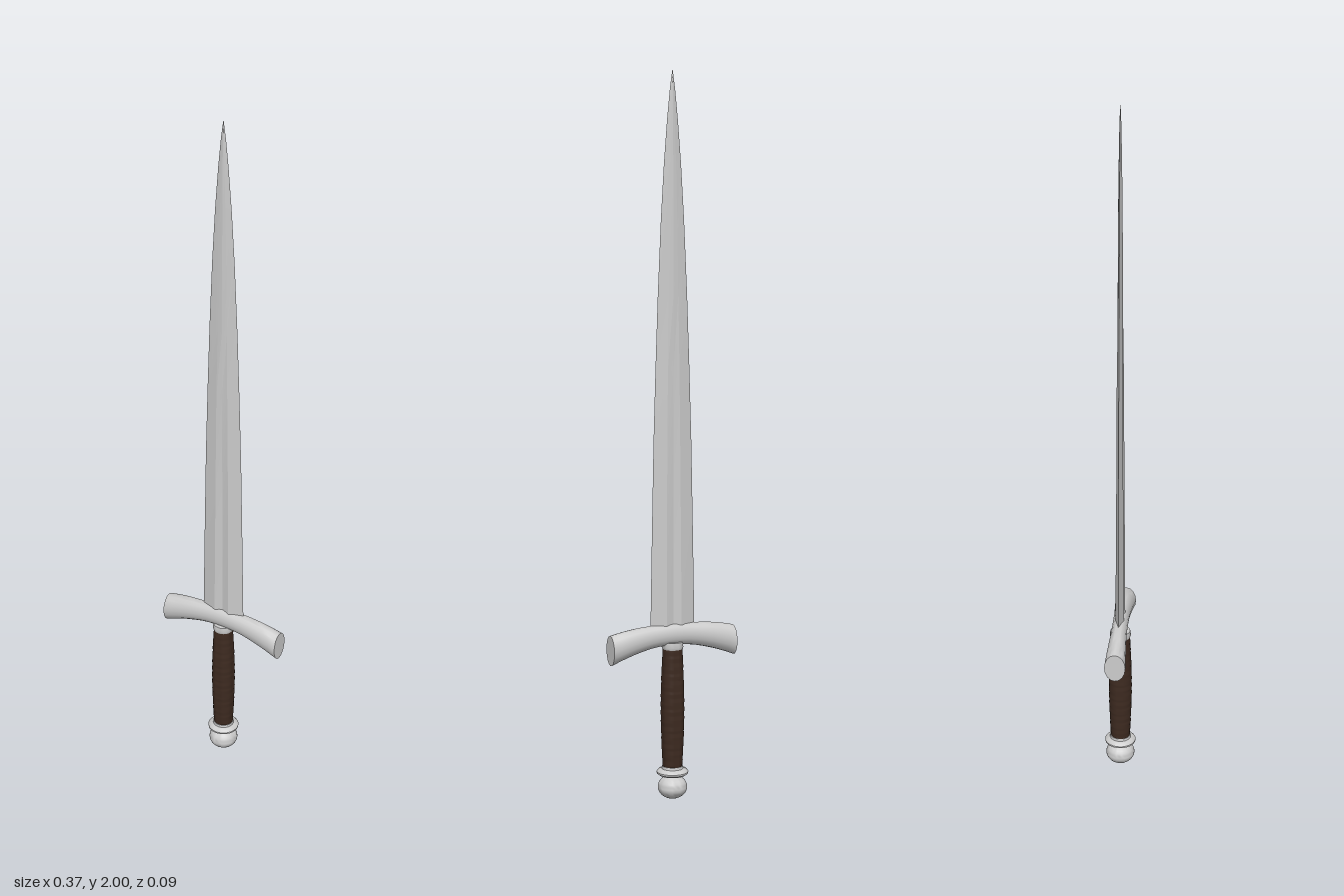
import * as THREE from 'three';
import { toCreasedNormals } from 'three/addons/utils/BufferGeometryUtils.js';

const steel = new THREE.MeshStandardMaterial({ color: 0xcccccc });
const leather = new THREE.MeshStandardMaterial({ color: 0x3d2a20 });

// Skin a list of closed cross-sections (each an array of [x, y, z]) and cap both ends.
function loft(rings, crease) {
  const n = rings[0].length, index = [];
  const points = rings.flat();
  for (let r = 0; r < rings.length - 1; r++) {
    for (let i = 0; i < n; i++) {
      const a = r * n + i, b = r * n + (i + 1) % n;
      index.push(a, b, b + n, a, b + n, a + n);
    }
  }
  for (const r of [0, rings.length - 1]) {
    const centre = points.length;
    points.push([0, 1, 2].map((k) => rings[r].reduce((s, p) => s + p[k], 0) / n));
    for (let i = 0; i < n; i++) {
      const a = r * n + i, b = r * n + (i + 1) % n;
      if (r === 0) index.push(centre, b, a);
      else index.push(centre, a, b);
    }
  }
  const g = new THREE.BufferGeometry();
  g.setAttribute('position', new THREE.Float32BufferAttribute(points.flat(), 3));
  g.setIndex(index);
  return toCreasedNormals(g, crease);
}

function add(group, name, geometry, material) {
  const mesh = new THREE.Mesh(geometry, material);
  mesh.name = name;
  group.add(mesh);
}

function lathe(profile, segments, crease) {
  const pts = profile.map(([r, y]) => new THREE.Vector2(r, y));
  return toCreasedNormals(new THREE.LatheGeometry(pts, segments), crease);
}

// Blade: diamond section with a shallow central fuller that fades upward
function bladeGeometry() {
  // [y, half width, half thickness, fuller depth]
  const stations = [
    [0.47, 0.066, 0.012, 0.006], [0.75, 0.061, 0.0105, 0.005],
    [1.0, 0.056, 0.009, 0.0025], [1.2, 0.05, 0.0085, 0.001],
    [1.4, 0.043, 0.0075, 0], [1.6, 0.034, 0.0065, 0],
    [1.75, 0.025, 0.0055, 0], [1.87, 0.0155, 0.004, 0],
    [1.95, 0.0075, 0.0025, 0], [2.0, 0.0005, 0.0005, 0],
  ];
  return loft(stations.map(([y, w, t, d]) => {
    const s = w * 0.34, shoulder = d > 0 ? t : t * 0.8;
    return [
      [w, y, 0], [s, y, -shoulder], [0, y, -(t - d)], [-s, y, -shoulder],
      [-w, y, 0], [-s, y, shoulder], [0, y, t - d], [s, y, shoulder],
    ];
  }), 0.12);
}

// Crossguard: oval bar, drooping and flaring toward flat ends
function guardGeometry() {
  const rings = [], steps = 16, sides = 16;
  for (let i = 0; i <= steps; i++) {
    const u = (i / steps) * 2 - 1;
    const flare = Math.max(0, (Math.abs(u) - 0.3) / 0.7);
    const y = 0.466 - 0.031 * u * u;
    const ry = 0.031 + 0.011 * flare, rz = 0.022 + 0.0075 * flare;
    rings.push(Array.from({ length: sides }, (_, k) => {
      const a = (k / sides) * Math.PI * 2;
      return [u * 0.184, y + Math.cos(a) * ry, Math.sin(a) * rz];
    }));
  }
  return loft(rings, 0.6);
}

// Grip: swelling handle with a spiral leather binding
function gripGeometry() {
  const profile = [], steps = 90, y0 = 0.085, y1 = 0.43;
  for (let i = 0; i <= steps; i++) {
    const t = i / steps;
    profile.push(new THREE.Vector2(0.027 + 0.0055 * Math.sin(Math.PI * t), y0 + (y1 - y0) * t));
  }
  const g = new THREE.LatheGeometry(profile, 24);
  const p = g.attributes.position;
  for (let i = 0; i < p.count; i++) {
    const x = p.getX(i), y = p.getY(i), z = p.getZ(i);
    const turn = Math.atan2(z, x) + ((y - y0) / (y1 - y0)) * 14 * Math.PI * 2;
    const k = 1 + 0.035 * (Math.abs(Math.sin(turn / 2)) - 0.5);
    p.setXYZ(i, x * k, y, z * k);
  }
  return toCreasedNormals(g, 0.7);
}

export function createModel() {
  const sword = new THREE.Group();
  sword.name = 'sword';
  add(sword, 'blade', bladeGeometry(), steel);
  add(sword, 'crossguard', guardGeometry(), steel);
  add(sword, 'grip', gripGeometry(), leather);

  // Collar between grip and guard
  add(sword, 'collar', lathe([[0, 0.425], [0.028, 0.425], [0.03, 0.431], [0.028, 0.445], [0, 0.445]], 24, 0.8), steel);

  // Pommel: rounded knob, narrow neck and a disc under the grip
  const pommel = [];
  for (let i = 0; i <= 12; i++) {
    const a = -Math.PI / 2 + (i / 12) * Math.PI * 0.85;
    pommel.push([Math.max(0, Math.cos(a) * 0.041), 0.033 + Math.sin(a) * 0.033]);
  }
  pommel.push([0.024, 0.064], [0.036, 0.067], [0.0435, 0.072], [0.044, 0.077],
    [0.039, 0.083], [0.03, 0.086], [0.029, 0.093], [0, 0.093]);
  add(sword, 'pommel', lathe(pommel, 32, 0.7), steel);
  return sword;
}
